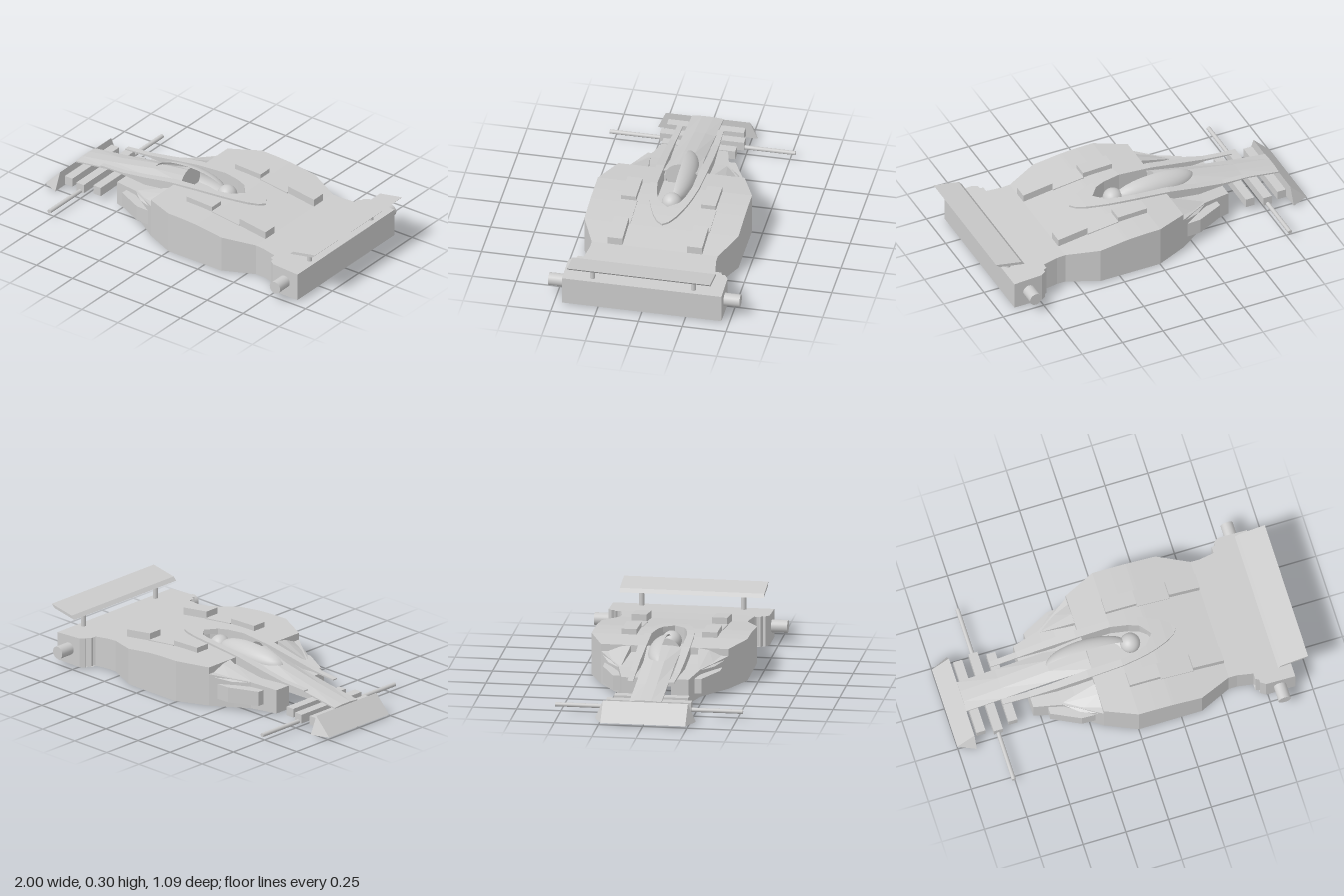
import * as THREE from 'three';
import { ConvexGeometry } from 'three/addons/geometries/ConvexGeometry.js';

const mat = new THREE.MeshStandardMaterial({ color: 0xcccccc, flatShading: true, side: THREE.DoubleSide });
const smooth = new THREE.MeshStandardMaterial({ color: 0xcccccc, side: THREE.DoubleSide });

// Joins cross-sections along x; each station is { x, ring: [[y, z], ...] }
function loft(stations) {
  const pos = [];
  const n = stations[0].ring.length;
  const put = (s, i) => pos.push(stations[s].x, ...stations[s].ring[i % n]);
  for (let s = 0; s < stations.length - 1; s++) {
    for (let i = 0; i < n; i++) {
      put(s, i); put(s + 1, i); put(s, i + 1);
      put(s, i + 1); put(s + 1, i); put(s + 1, i + 1);
    }
  }
  const last = stations.length - 1;
  for (let i = 1; i < n - 1; i++) {
    put(0, 0); put(0, i); put(0, i + 1);
    put(last, 0); put(last, i + 1); put(last, i);
  }
  const g = new THREE.BufferGeometry();
  g.setAttribute('position', new THREE.Float32BufferAttribute(pos, 3));
  g.computeVertexNormals();
  return g;
}

// Four-cornered section from rows of [x, bottom, top, innerZ, outerZ]
const slab = rows => loft(rows.map(([x, y0, y1, zi, zo]) => (
  { x, ring: [[y0, zi], [y0, zo], [y1, zo], [y1, zi]] })));

// Linear interpolation in a table of [x, value]
function lerpTable(table, x) {
  for (let i = 1; i < table.length; i++) {
    const [x0, v0] = table[i - 1], [x1, v1] = table[i];
    if (x <= x1) return v0 + (v1 - v0) * Math.max(0, (x - x0) / (x1 - x0));
  }
  return table[table.length - 1][1];
}

const deckHeight = x => lerpTable(
  [[-0.18, 0.235], [0, 0.246], [0.1, 0.244], [0.2, 0.238], [0.37, 0.216], [0.55, 0.19], [0.7, 0.18], [0.91, 0.168]], x);
const cockpitHalf = x => lerpTable(
  [[-0.17, 0.1], [0, 0.1], [0.1, 0.082], [0.16, 0.06], [0.195, 0.032], [0.21, 0]], x);

export function createModel() {
  const model = new THREE.Group();
  const add = (name, geo, x = 0, y = 0, z = 0, m = mat) => {
    const mesh = new THREE.Mesh(geo, m);
    mesh.name = name;
    mesh.position.set(x, y, z);
    model.add(mesh);
    return mesh;
  };
  const pair = (name, geo, x = 0, y = 0, z = 0, m = mat) => {
    add(name + 'Left', geo, x, y, z, m);
    add(name + 'Right', geo, x, y, -z, m).scale.z = -1;
  };
  const box = (w, h, d) => new THREE.BoxGeometry(w, h, d);

  // Main hull halves, leaving the cockpit opening between them
  const outline = [[-0.18, 0.36], [0, 0.44], [0.1, 0.44], [0.16, 0.44], [0.195, 0.44], [0.21, 0.44],
    [0.37, 0.44], [0.46, 0.4], [0.55, 0.36], [0.6, 0.36], [0.69, 0.375], [0.7, 0.385], [0.7, 0.4],
    [0.69, 0.41], [0.72, 0.42], [0.71, 0.435], [0.74, 0.455], [0.91, 0.455]];
  pair('hull', slab(outline.map(([x, w]) => [x, 0.005, deckHeight(x), cockpitHalf(x), w])));
  add('cockpitFloor', box(0.4, 0.15, 0.205), 0.02, 0.08, 0);

  // Front side pods, with protruding intake scoops and fairings
  pair('sidePod', slab([[-0.54, 0.01, 0.15, 0.09, 0.19], [-0.38, 0.008, 0.165, 0.09, 0.23],
    [-0.3, 0.006, 0.175, 0.09, 0.28], [-0.18, 0.005, 0.195, 0.09, 0.36]]));
  pair('intakeScoop', slab([[-0.46, 0.05, 0.135, 0.2, 0.25], [-0.3, 0.05, 0.14, 0.2, 0.33], [-0.19, 0.05, 0.14, 0.2, 0.335]]));
  const fairing = [[-0.39, 0.16, 0.22], [-0.3, 0.165, 0.3], [-0.18, 0.18, 0.355], [-0.18, 0.235, 0.19],
    [-0.18, 0.16, 0.19], [-0.18, 0.225, 0.25]];
  pair('fairing', new ConvexGeometry(fairing.map(p => new THREE.Vector3(...p))));
  pair('floorSkid', box(0.37, 0.006, 0.17), 0.185, 0.003, 0.35);

  // Thin ridged nose plate: [x, ridge height, edge height, half width]
  const nose = [[-0.9, 0.121, 0.116, 0.09], [-0.68, 0.157, 0.146, 0.09], [-0.4, 0.212, 0.19, 0.09], [-0.17, 0.24, 0.232, 0.1]];
  add('nose', loft(nose.map(([x, yr, ye, w]) => ({
    x, ring: [[ye - 0.008, -w], [ye - 0.008, w], [ye, w], [yr, w * 0.35], [yr, -w * 0.35], [ye, -w]] }))));

  // Raised cockpit surround running forward into thin blades
  pair('cockpitSurround', slab([[-0.7, 0.17, 0.176, 0.1, 0.132], [-0.54, 0.175, 0.187, 0.105, 0.14],
    [-0.38, 0.165, 0.212, 0.105, 0.145], [-0.2, 0.19, 0.243, 0.1, 0.147], [0, 0.23, 0.258, 0.1, 0.14],
    [0.1, 0.23, 0.256, 0.082, 0.125], [0.16, 0.22, 0.252, 0.06, 0.111], [0.21, 0.22, 0.248, 0, 0.096],
    [0.28, 0.21, 0.24, 0, 0.067], [0.33, 0.2, 0.232, 0, 0.035], [0.355, 0.2, 0.229, 0, 0]]));

  // Canopy: a half ellipsoid cut flat at the back, with its bulkhead
  const dome = new THREE.SphereGeometry(1, 32, 16, -Math.PI / 2, Math.PI, 0, Math.PI);
  dome.rotateY(-Math.PI / 2);
  dome.scale(0.24, 0.08, 0.09);
  add('canopy', dome, -0.17, 0.2, 0, smooth);
  const bulkhead = new THREE.CircleGeometry(1, 32);
  bulkhead.rotateY(Math.PI / 2);
  bulkhead.scale(1, 0.08, 0.09);
  add('canopyBulkhead', bulkhead, -0.17, 0.2, 0);
  add('helmet', new THREE.SphereGeometry(0.057, 24, 16), 0.085, 0.195, 0, smooth);

  // Deck blocks following the slope of the hull
  const deckBlock = (name, x0, x1, zi, zo, rise) => pair(name,
    slab([x0, x1].map(x => [x, deckHeight(x) - 0.02, deckHeight(x) + rise, zi, zo])));
  deckBlock('frontDeckBlock', 0, 0.18, 0.185, 0.27, 0.031);
  deckBlock('deckPlate', 0.18, 0.37, 0.177, 0.275, 0.006);
  deckBlock('rearDeckBlock', 0.37, 0.55, 0.185, 0.27, 0.043);

  // Front wing wedge with flared ends
  const wing = [];
  for (const s of [-1, 1]) {
    wing.push(new THREE.Vector3(-1, 0.01, 0.24 * s), new THREE.Vector3(-0.9, 0.01, 0.285 * s),
      new THREE.Vector3(-0.9, 0.112, 0.24 * s));
  }
  add('frontWing', new ConvexGeometry(wing));

  // Cross bars under the nose and the front axle
  [[-0.855, 0.44], [-0.76, 0.48], [-0.665, 0.42]].forEach(([x, d]) =>
    add('crossBar', box(0.052, 0.052, d), x, 0.06, 0));
  const axle = new THREE.CylinderGeometry(0.012, 0.012, 1.06, 16);
  axle.rotateX(Math.PI / 2);
  add('frontAxle', axle, -0.76, 0.04, 0, smooth);

  // Rear axle stubs
  const stub = new THREE.CylinderGeometry(0.036, 0.036, 0.12, 24);
  stub.rotateX(Math.PI / 2);
  pair('rearAxleStub', stub, 0.82, 0.095, 0.486, smooth);

  // Rear wing on two posts
  const section = new THREE.Shape([[0.825, 0.252], [0.98, 0.28], [1, 0.3], [0.845, 0.272]]
    .map(p => new THREE.Vector2(...p)));
  const rearWing = new THREE.ExtrudeGeometry(section, { depth: 0.816, bevelEnabled: false });
  add('rearWing', rearWing, 0, 0, -0.408);
  pair('rearWingPost', new THREE.CylinderGeometry(0.015, 0.015, 0.11, 16), 0.87, 0.215, 0.288, smooth);

  return model;
}
